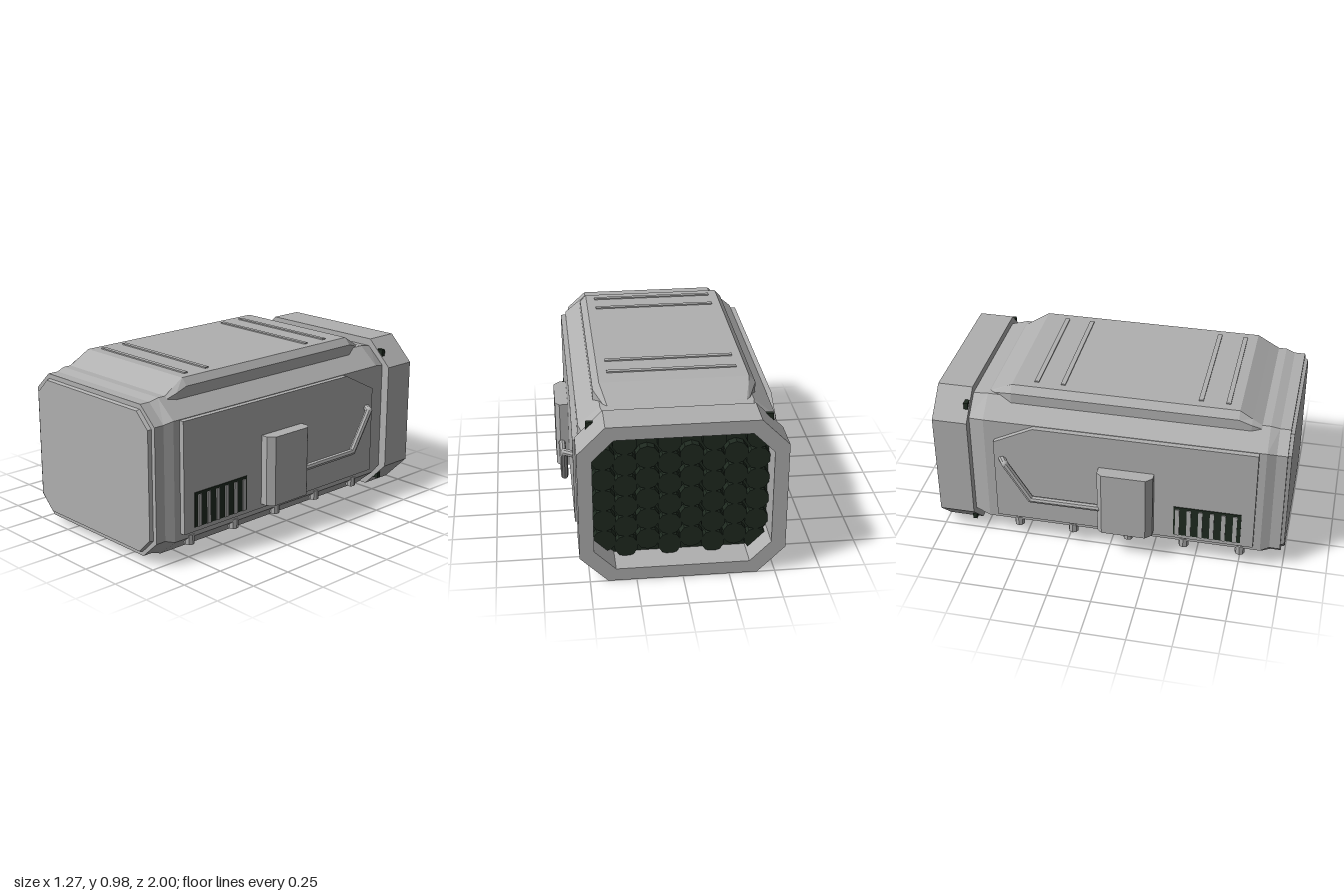
import * as THREE from 'three';

const grey = new THREE.MeshStandardMaterial({ color: 0xb0b0b0 });
grey.name = 'hull grey';
const dark = new THREE.MeshStandardMaterial({ color: 0x1f2a20 });
dark.name = 'grille dark green';

export function createModel() {
  const model = new THREE.Group();
  model.name = 'module';

  function add(name, geometry, material = grey, x = 0, y = 0, z = 0) {
    const mesh = new THREE.Mesh(geometry, material);
    mesh.name = name;
    mesh.position.set(x, y, z);
    model.add(mesh);
    return mesh;
  }
  const box = (name, w, h, d, x, y, z, material) =>
    add(name, new THREE.BoxGeometry(w, h, d), material, x, y, z);

  // Faceted copy of a geometry
  function flat(geometry) {
    const g = geometry.index ? geometry.toNonIndexed() : geometry;
    g.computeVertexNormals();
    return g;
  }

  // Octagon with cut corners, counter-clockwise seen from the front
  const octagon = (hx, y0, y1, cx, cy) => [
    [hx, y0 + cy], [hx, y1 - cy], [hx - cx, y1], [cx - hx, y1],
    [-hx, y1 - cy], [-hx, y0 + cy], [cx - hx, y0], [hx - cx, y0],
  ];

  // Closed skin over cross-sections [z, points], ordered from front to back
  function loft(sections) {
    const rings = sections.map(([z, pts]) => pts.map(([x, y]) => [x, y, z]));
    const n = rings[0].length, v = [];
    for (let r = 0; r < rings.length - 1; r++) {
      for (let i = 0; i < n; i++) {
        const j = (i + 1) % n, a = rings[r], b = rings[r + 1];
        v.push(...a[i], ...b[i], ...b[j], ...a[i], ...b[j], ...a[j]);
      }
    }
    const first = rings[0], last = rings[rings.length - 1];
    for (let i = 1; i < n - 1; i++) {
      v.push(...first[0], ...first[i], ...first[i + 1]);
      v.push(...last[0], ...last[i + 1], ...last[i]);
    }
    const g = new THREE.BufferGeometry();
    g.setAttribute('position', new THREE.Float32BufferAttribute(v, 3));
    g.computeVertexNormals();
    return g;
  }

  const shapeOf = (pts) => new THREE.Shape(pts.map(([x, y]) => new THREE.Vector2(x, y)));
  const extrude = (shape, depth) =>
    new THREE.ExtrudeGeometry(shape, { depth, bevelEnabled: false });

  // Main hull
  const full = octagon(0.53, 0.03, 0.9, 0.12, 0.1);
  const nose = octagon(0.51, 0.045, 0.885, 0.11, 0.1);
  add('hull', loft([
    [0.98, nose], [0.92, nose], [0.87, full], [-0.71, full],
    [-0.81, octagon(0.5, 0.05, 0.88, 0.11, 0.1)],
  ]));

  // Front cover with a narrow bevel
  add('frontCover', loft([
    [1.0, octagon(0.479, 0.075, 0.852, 0.088, 0.085)],
    [0.97, octagon(0.488, 0.066, 0.861, 0.09, 0.088)],
  ]));

  // Raised roof and its ribs
  const roofSection = (xt, yt, xs, ys) =>
    [[xs, 0.84], [xs, ys], [xt, yt], [-xt, yt], [-xs, ys], [-xs, 0.84]];
  add('roof', loft([
    [0.85, roofSection(0.41, 0.885, 0.42, 0.875)],
    [0.77, roofSection(0.408, 0.932, 0.44, 0.91)],
    [0.7, roofSection(0.405, 0.974, 0.44, 0.935)],
    [-0.57, roofSection(0.405, 0.974, 0.44, 0.935)],
    [-0.71, roofSection(0.37, 0.897, 0.38, 0.89)],
  ]));
  for (const z of [0.63, 0.48, -0.29, -0.44]) box('roofRib', 0.71, 0.012, 0.026, 0, 0.975, z);

  // Rear collar, open at the back
  const collar = shapeOf(octagon(0.553, 0.003, 0.925, 0.15, 0.15));
  collar.holes.push(new THREE.Path(
    octagon(0.475, 0.075, 0.85, 0.115, 0.115).map(([x, y]) => new THREE.Vector2(x, y))));
  add('rearCollar', extrude(collar, 0.2), grey, 0, 0, -1);

  // Rear grille: backing plate with staggered round cells
  box('grillePlate', 0.99, 0.814, 0.024, 0, 0.465, -0.817, dark);
  const cell = flat(new THREE.CylinderGeometry(0.066, 0.066, 0.05, 10).rotateX(Math.PI / 2));
  for (let c = 0; c < 8; c++) {
    for (let r = 0; r < 6; r++) {
      const y = 0.145 + r * 0.125 + (c % 2 ? 0.03 : -0.01);
      const x = -0.413 + c * 0.118;
      if (y < 0.8) add('grilleCell', cell, dark, x, y, -0.85);
    }
  }

  // Straight rod between two points
  function rod(name, a, b, radius) {
    const from = new THREE.Vector3(...a), to = new THREE.Vector3(...b);
    const mesh = add(name, flat(new THREE.CylinderGeometry(radius, radius, from.distanceTo(to), 8)));
    mesh.position.copy(from).add(to).multiplyScalar(0.5);
    mesh.quaternion.setFromUnitVectors(new THREE.Vector3(0, 1, 0), to.sub(from).normalize());
  }

  for (const s of [1, -1]) {
    // Side panel with one cut corner
    const panel = extrude(shapeOf([
      [0.83, 0.17], [0.83, 0.797], [-0.42, 0.797], [-0.65, 0.68], [-0.65, 0.17],
    ]), 0.05).rotateY(-Math.PI / 2);
    add('sidePanel', panel, grey, s > 0 ? 0.56 : -0.51);

    // Vent plate and slats
    box('ventPlate', 0.008, 0.196, 0.38, s * 0.56, 0.292, 0.568, dark);
    for (let i = 0; i < 6; i++) {
      box('ventSlat', 0.02, 0.18, 0.023, s * 0.56, 0.285, 0.4 + i * 0.065);
    }

    // Side box with beveled vertical edges
    const plan = [[0.54, 0.265], [0.6, 0.265], [0.635, 0.23], [0.635, -0.02], [0.61, -0.048], [0.54, -0.048]];
    const housing = extrude(shapeOf(plan.map(([x, z]) => [s * x, -z])), 0.4).rotateX(-Math.PI / 2);
    add('sideBox', housing, grey, 0, 0.195, 0);

    // Bent grab handle
    const path = [[0.602, 0.345, -0.03], [0.602, 0.345, -0.435], [0.602, 0.57, -0.575], [0.54, 0.57, -0.615]]
      .map(([x, y, z]) => [s * x, y, z]);
    for (let i = 0; i < 3; i++) {
      rod('handleRod', path[i], path[i + 1], 0.02);
      if (i) add('handleJoint', new THREE.SphereGeometry(0.02, 8, 6), grey, ...path[i]);
    }

    // Lower studs
    for (let i = 0; i < 5; i++) {
      const stud = flat(new THREE.CylinderGeometry(0.028, 0.028, 0.055, 8));
      add('lowerStud', stud, grey, s * 0.512, 0.115, 0.755 - i * 0.3225);
    }
  }
  return model;
}
